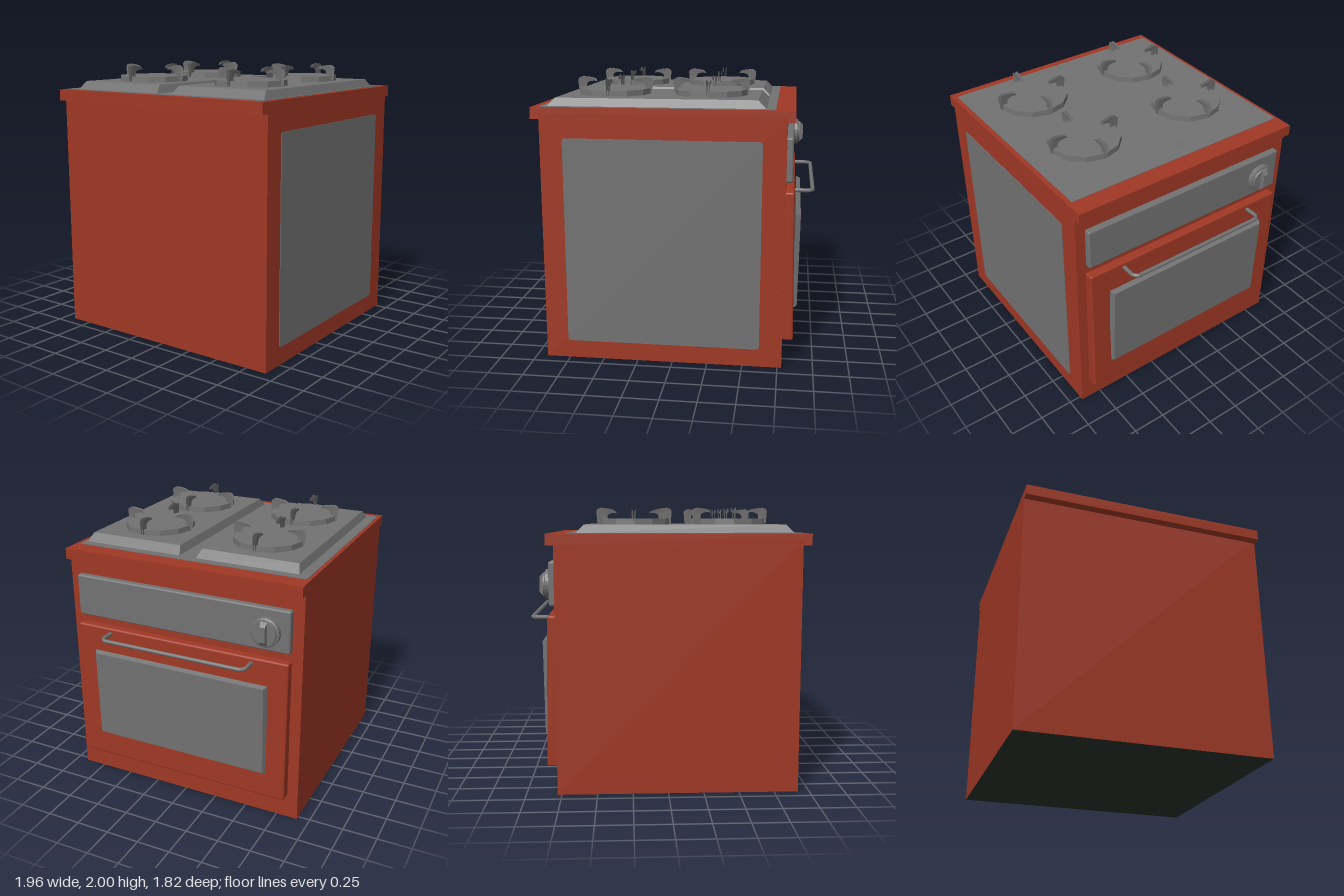
import * as THREE from 'three';
import { RoundedBoxGeometry } from 'three/addons/geometries/RoundedBoxGeometry.js';

export function createModel() {
  const model = new THREE.Group();
  model.name = 'stove';
  const red = new THREE.MeshStandardMaterial({ color: 0xa03824 });
  red.name = 'red enamel';
  const grey = new THREE.MeshStandardMaterial({ color: 0x727272, side: THREE.DoubleSide });
  grey.name = 'grey metal';
  const dark = new THREE.MeshStandardMaterial({ color: 0x2a332a });
  dark.name = 'dark underside';

  function add(name, geometry, material, parent = model) {
    const mesh = new THREE.Mesh(geometry, material);
    mesh.name = name;
    parent.add(mesh);
    return mesh;
  }
  const span = (x0, x1, y0, y1, z0, z1) =>
    new THREE.BoxGeometry(x1 - x0, y1 - y0, z1 - z0)
      .translate((x0 + x1) / 2, (y0 + y1) / 2, (z0 + z1) / 2);
  const roundedSpan = (x0, x1, y0, y1, z0, z1, r) =>
    new RoundedBoxGeometry(x1 - x0, y1 - y0, z1 - z0, 2, r)
      .translate((x0 + x1) / 2, (y0 + y1) / 2, (z0 + z1) / 2);

  // Box whose far face along +y is inset, giving sloped sides
  function frustum(w, h, d, inset) {
    const g = new THREE.BoxGeometry(w, h, d).toNonIndexed();
    const p = g.attributes.position;
    for (let i = 0; i < p.count; i++) {
      if (p.getY(i) > 0) {
        p.setX(i, p.getX(i) - Math.sign(p.getX(i)) * inset[0]);
        p.setZ(i, p.getZ(i) - Math.sign(p.getZ(i)) * inset[1]);
      }
    }
    g.translate(0, h / 2, 0);
    g.computeVertexNormals();
    return g;
  }

  // Cabinet and worktop
  add('cabinet', span(-0.92, 0.78, 0, 1.78, -0.91, 0.91), [red, red, red, dark, red, red]);
  add('worktop', span(-0.98, 0.835, 1.74, 1.82, -0.91, 0.91), red);
  add('cooktopPlate', span(-0.92, 0.7, 1.818, 1.824, -0.885, 0.875), grey);

  // Side panel with small rounded corners
  const s = new THREE.Shape();
  const [l, r, b, t, c] = [-0.76, 0.62, 0.13, 1.61, 0.025];
  s.moveTo(l + c, b).lineTo(r - c, b).quadraticCurveTo(r, b, r, b + c)
    .lineTo(r, t - c).quadraticCurveTo(r, t, r - c, t)
    .lineTo(l + c, t).quadraticCurveTo(l, t, l, t - c)
    .lineTo(l, b + c).quadraticCurveTo(l, b, l + c, b);
  add('sidePanel', new THREE.ExtrudeGeometry(s, { depth: 0.004, bevelEnabled: false, curveSegments: 4 }), grey)
    .position.z = 0.91;

  // Hooked pan support: one thin sheet, leaning outward at the top
  function prongSheet(side) {
    const shape = new THREE.Shape();
    shape.moveTo(0.235, 1.885).lineTo(0.268, 1.885).lineTo(0.275, 1.975)
      .quadraticCurveTo(0.27, 1.995, 0.24, 2.0)
      .quadraticCurveTo(0.18, 1.995, 0.15, 1.985)
      .lineTo(0.135, 1.965)
      .quadraticCurveTo(0.18, 1.975, 0.208, 1.955)
      .quadraticCurveTo(0.22, 1.94, 0.21, 1.915).lineTo(0.235, 1.885);
    const g = new THREE.ShapeGeometry(shape, 4);
    const p = g.attributes.position;
    for (let i = 0; i < p.count; i++) {
      p.setZ(i, side * (0.007 + Math.max(0, p.getY(i) - 1.96) * 0.2));
    }
    g.computeVertexNormals();
    return g;
  }

  // Two raised trays, each with two burners
  for (const [trayZ, burnerZ] of [[-0.425, -0.42], [0.47, 0.47]]) {
    add('burnerTray', frustum(1.52, 0.06, 0.77, [0.06, 0.025]), grey).position.set(-0.12, 1.82, trayZ);
    for (const x of [-0.47, 0.23]) {
      const burner = new THREE.Group();
      burner.name = 'burner';
      burner.position.set(x, 0, burnerZ);
      model.add(burner);
      const disc = new THREE.CylinderGeometry(0.257, 0.26, 0.045, 12).toNonIndexed();
      disc.computeVertexNormals();
      add('burnerDisc', disc, grey, burner).position.y = 1.8975;
      for (let i = 0; i < 4; i++) {
        for (const side of [-1, 1]) {
          add('panSupport', prongSheet(side), grey, burner).rotation.y = i * Math.PI / 2;
        }
      }
    }
  }

  // Control panel
  add('controlPanel', roundedSpan(0.76, 0.825, 1.32, 1.63, -0.83, 0.835, 0.014), grey);

  // Knob with a raised grip
  const knob = new THREE.Group();
  knob.name = 'knob';
  knob.position.set(0.82, 1.463, -0.66);
  knob.rotation.z = -Math.PI / 2;
  model.add(knob);
  const profile = [[0.105, 0], [0.105, 0.034], [0.095, 0.04], [0.088, 0.04], [0.085, 0.052], [0, 0.052]];
  const knobBody = new THREE.LatheGeometry(profile.map(([a, h]) => new THREE.Vector2(a, h)), 24).toNonIndexed();
  knobBody.computeVertexNormals();
  add('knobBody', knobBody, grey, knob);
  add('knobGrip', frustum(0.17, 0.03, 0.05, [0.03, 0.006]), grey, knob).position.y = 0.05;

  // Oven door, slightly thicker toward the bottom
  const door = roundedSpan(0.76, 0.84, 0.18, 1.255, -0.83, 0.84, 0.014);
  const dp = door.attributes.position;
  for (let i = 0; i < dp.count; i++) {
    if (dp.getX(i) > 0.8) dp.setX(i, dp.getX(i) + (1.255 - dp.getY(i)) * 0.015);
  }
  add('ovenDoor', door, red);

  // Door window with bevelled rim, leaning with the door
  const glass = add('ovenWindow', frustum(0.7, 0.035, 1.38, [0.014, 0.016]), grey);
  glass.position.set(0.848, 0.72, 0.003);
  glass.rotation.z = -Math.PI / 2 - 0.015;

  // Door handle
  const path = new THREE.CurvePath();
  const pts = [[0.83, -0.56], [0.94, -0.56], [0.967, -0.53], [0.967, 0.535], [0.94, 0.565], [0.83, 0.565]]
    .map(([x, z]) => new THREE.Vector3(x, 1.215, z));
  for (let i = 1; i < pts.length; i++) path.add(new THREE.LineCurve3(pts[i - 1], pts[i]));
  add('doorHandle', new THREE.TubeGeometry(path, 90, 0.015, 8), grey);

  return model;
}
